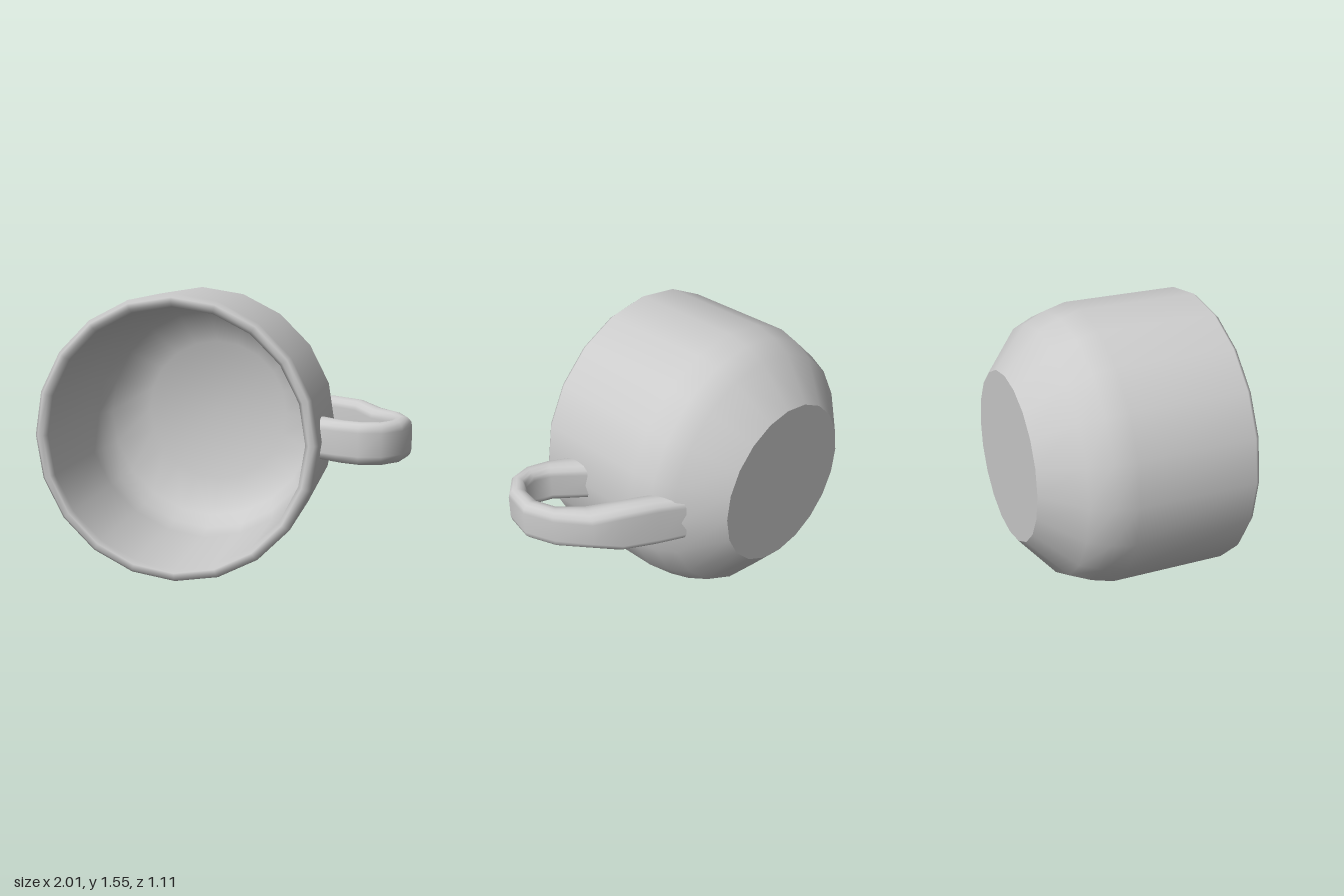
import * as THREE from 'three';

const CX = -0.23, CY = 0.775, SIDES = 20;

// Rounded-rectangle section: t across the thickness (-1..1), h across the height (world units)
function sectionRing(halfHeight, radius, steps) {
  const ring = [];
  const corners = [[1, 1, 0], [-1, 1, 1], [-1, -1, 2], [1, -1, 3]];
  for (const [sx, sy, q] of corners) {
    for (let i = 0; i <= steps; i++) {
      const a = (q + i / steps) * Math.PI / 2;
      ring.push([0.15 * sx + 0.85 * Math.cos(a), sy * (halfHeight - radius) + radius * Math.sin(a)]);
    }
  }
  return ring;
}

// Handle lofted through stations: [outer x, outer z, inner x, inner z, half height]
function handleGeometry() {
  const stations = [
    [0.40, -0.41, 0.45, -0.22, 0.135],
    [0.53, -0.335, 0.53, -0.18, 0.142],
    [0.70, -0.24, 0.66, -0.10, 0.138],
    [0.82, -0.14, 0.76, 0.00, 0.112],
    [0.94, 0.03, 0.86, 0.09, 0.112],
    [1.00, 0.20, 0.895, 0.20, 0.112],
    [0.96, 0.37, 0.88, 0.30, 0.112],
    [0.86, 0.47, 0.84, 0.37, 0.112],
    [0.74, 0.49, 0.77, 0.385, 0.112],
    [0.62, 0.45, 0.68, 0.35, 0.112],
    [0.50, 0.39, 0.50, 0.18, 0.112],
  ];
  const position = [], index = [];
  let n = 0;
  for (const [ox, oz, ix, iz, half] of stations) {
    const ring = sectionRing(half, 0.05, 3);
    n = ring.length;
    for (const [t, h] of ring) {
      const k = (1 + t) / 2;
      position.push(ix + (ox - ix) * k, CY + 0.005 + h, iz + (oz - iz) * k);
    }
  }
  for (let s = 0; s < stations.length - 1; s++) {
    for (let i = 0; i < n; i++) {
      const a = s * n + i, b = s * n + (i + 1) % n;
      index.push(a, b, a + n, b, b + n, a + n);
    }
  }
  const geometry = new THREE.BufferGeometry();
  geometry.setAttribute('position', new THREE.Float32BufferAttribute(position, 3));
  geometry.setIndex(index);
  geometry.computeVertexNormals();
  return geometry;
}

export function createModel() {
  const group = new THREE.Group();
  group.name = 'cup';
  const material = new THREE.MeshStandardMaterial({ color: 0xcccccc });
  const add = (name, geometry, mat = material) => {
    const mesh = new THREE.Mesh(geometry, mat);
    mesh.name = name;
    group.add(mesh);
    return mesh;
  };

  // Body lying on its side: outer wall, rim, inner wall and floor in one profile
  const profile = [
    [0.47, -0.555], [0.69, -0.365], [0.743, -0.245], [0.775, -0.125],
    [0.775, 0.53], [0.755, 0.555], [0.725, 0.555], [0.705, 0.53],
    [0.705, -0.11], [0.675, -0.22], [0.625, -0.33], [0.43, -0.49], [0, -0.49],
  ].map(([r, z]) => new THREE.Vector2(r, z));
  const body = new THREE.LatheGeometry(profile, SIDES);
  body.rotateX(Math.PI / 2);
  add('body', body).position.set(CX, CY, 0);

  // Flat base disc facing the back
  const base = new THREE.CircleGeometry(0.47, SIDES);
  base.rotateY(Math.PI);
  add('base', base).position.set(CX, CY, -0.555);

  // Looped handle, its open ends buried in the wall
  const handleMaterial = material.clone();
  handleMaterial.side = THREE.DoubleSide;
  add('handle', handleGeometry(), handleMaterial);

  return group;
}
